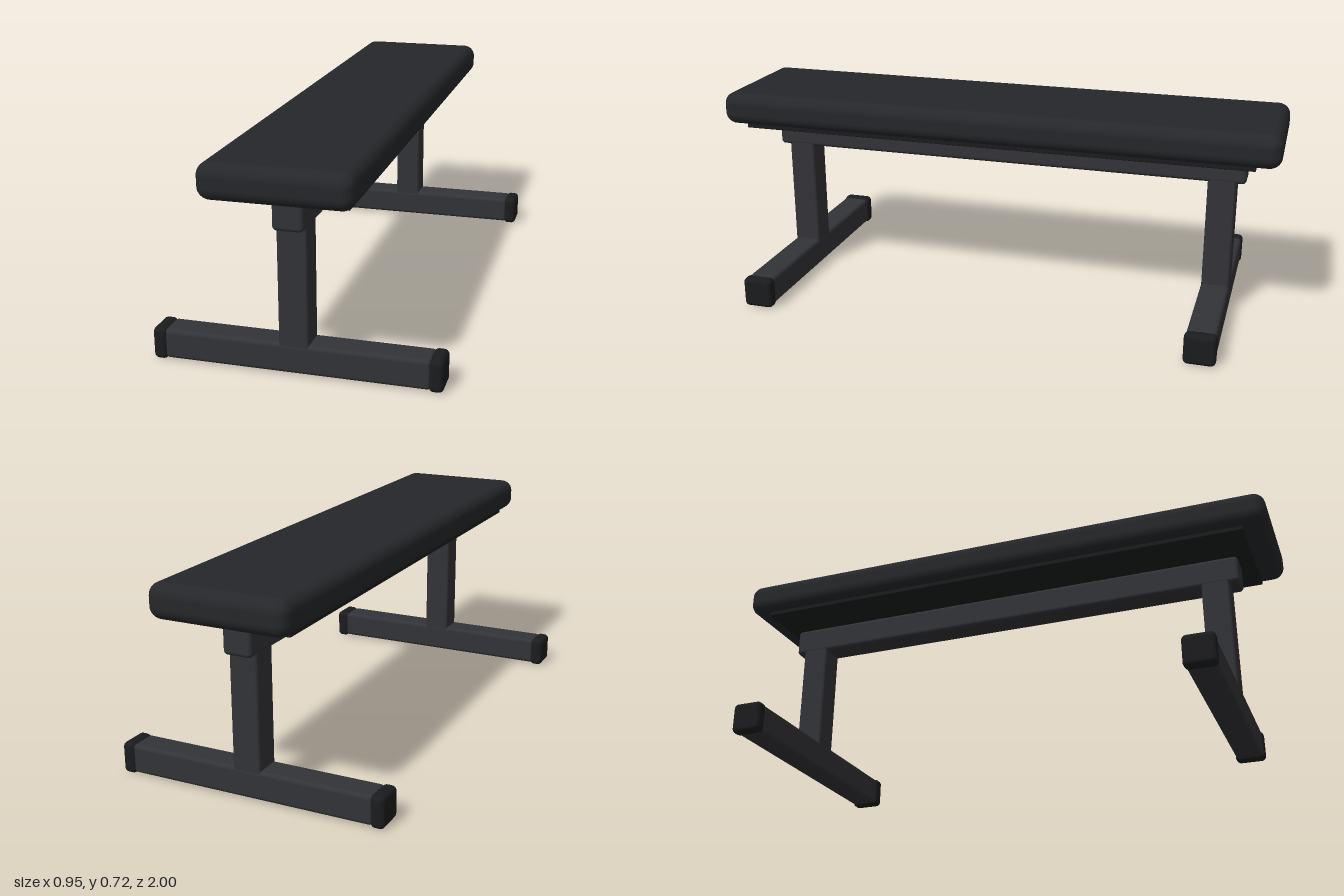
import * as THREE from 'three';
import { RoundedBoxGeometry } from 'three/addons/geometries/RoundedBoxGeometry.js';

const padding = new THREE.MeshStandardMaterial({ color: 0x25272a });
const steel = new THREE.MeshStandardMaterial({ color: 0x323338 });
const rubber = new THREE.MeshStandardMaterial({ color: 0x1b1c1e });

// Rounded box given by its size and centre
function block(parent, name, size, centre, radius, material) {
  const mesh = new THREE.Mesh(new RoundedBoxGeometry(...size, 5, radius), material);
  mesh.name = name;
  mesh.position.set(...centre);
  parent.add(mesh);
  return mesh;
}

// T-shaped stand: post, cross foot and two end caps
function stand(name, z) {
  const group = new THREE.Group();
  group.name = name;
  group.position.z = z;
  block(group, 'post', [0.098, 0.42, 0.098], [0, 0.298, 0], 0.01, steel);
  block(group, 'crossFoot', [0.87, 0.1, 0.1], [0, 0.056, 0], 0.014, steel);
  for (const side of [1, -1]) {
    const label = side > 0 ? 'leftEndCap' : 'rightEndCap';
    block(group, label, [0.048, 0.108, 0.108], [side * 0.45, 0.055, 0], 0.017, rubber);
  }
  return group;
}

export function createModel() {
  const bench = new THREE.Group();
  bench.name = 'bench';

  // Upholstered top on its backing board
  block(bench, 'seatPad', [0.48, 0.116, 2], [0, 0.664, 0], 0.042, padding);
  block(bench, 'backingBoard', [0.416, 0.024, 1.836], [0, 0.604, 0], 0.003, rubber);

  // Central rail and its two stands
  block(bench, 'centreRail', [0.1, 0.1, 1.75], [0, 0.539, -0.006], 0.014, steel);
  bench.add(stand('frontStand', 0.783), stand('backStand', -0.799));

  return bench;
}
